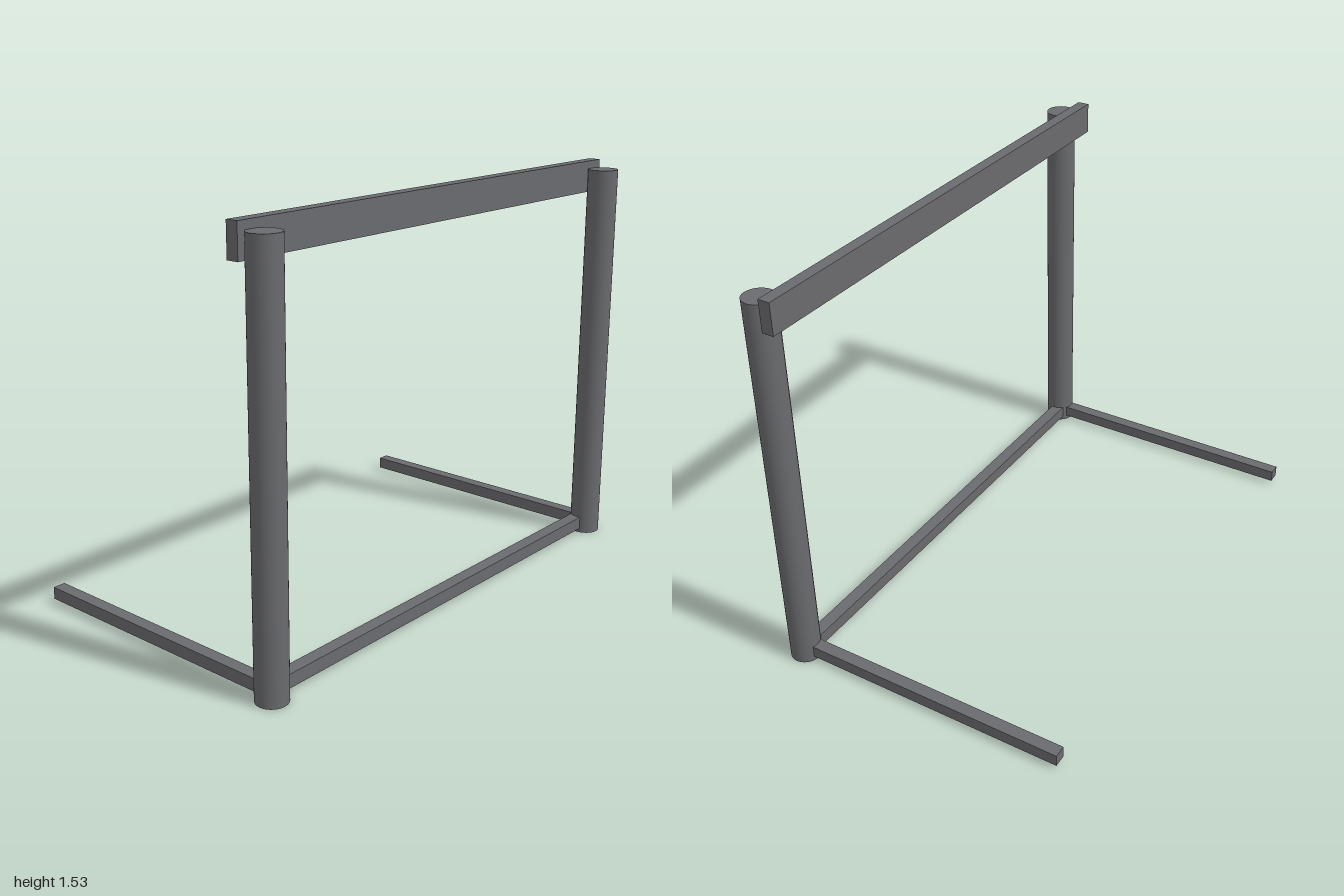
import * as THREE from 'three';

export function createModel() {
  const group = new THREE.Group();
  const steel = new THREE.MeshStandardMaterial({ color: 0x6a6b6e });
  steel.name = 'dark grey steel';

  const add = (name, geometry, x, y, z) => {
    const mesh = new THREE.Mesh(geometry, steel);
    mesh.name = name;
    mesh.position.set(x, y, z);
    group.add(mesh);
  };

  const radius = 0.0575, height = 1.5, postX = 1 - radius, postZ = 0.516;

  // Round uprights, each with a square foot running backwards
  const post = new THREE.CylinderGeometry(radius, radius, height, 48);
  const footFront = 0.48, footBack = -0.574;
  const foot = new THREE.BoxGeometry(0.048, 0.046, footFront - footBack);
  for (const [side, s] of [['left', 1], ['right', -1]]) {
    add(side + 'Post', post, s * postX, height / 2, postZ);
    add(side + 'Foot', foot, s * 0.939, 0.041, (footFront + footBack) / 2);
  }

  // Flat crossbar fixed behind the tops of the posts
  add('topCrossbar', new THREE.BoxGeometry(2, 0.12, 0.046), 0, 1.47, 0.442);

  // Square rail between the post bases
  add('bottomRail', new THREE.BoxGeometry(2 * postX, 0.05, 0.05), 0, 0.041, 0.502);

  return group;
}
